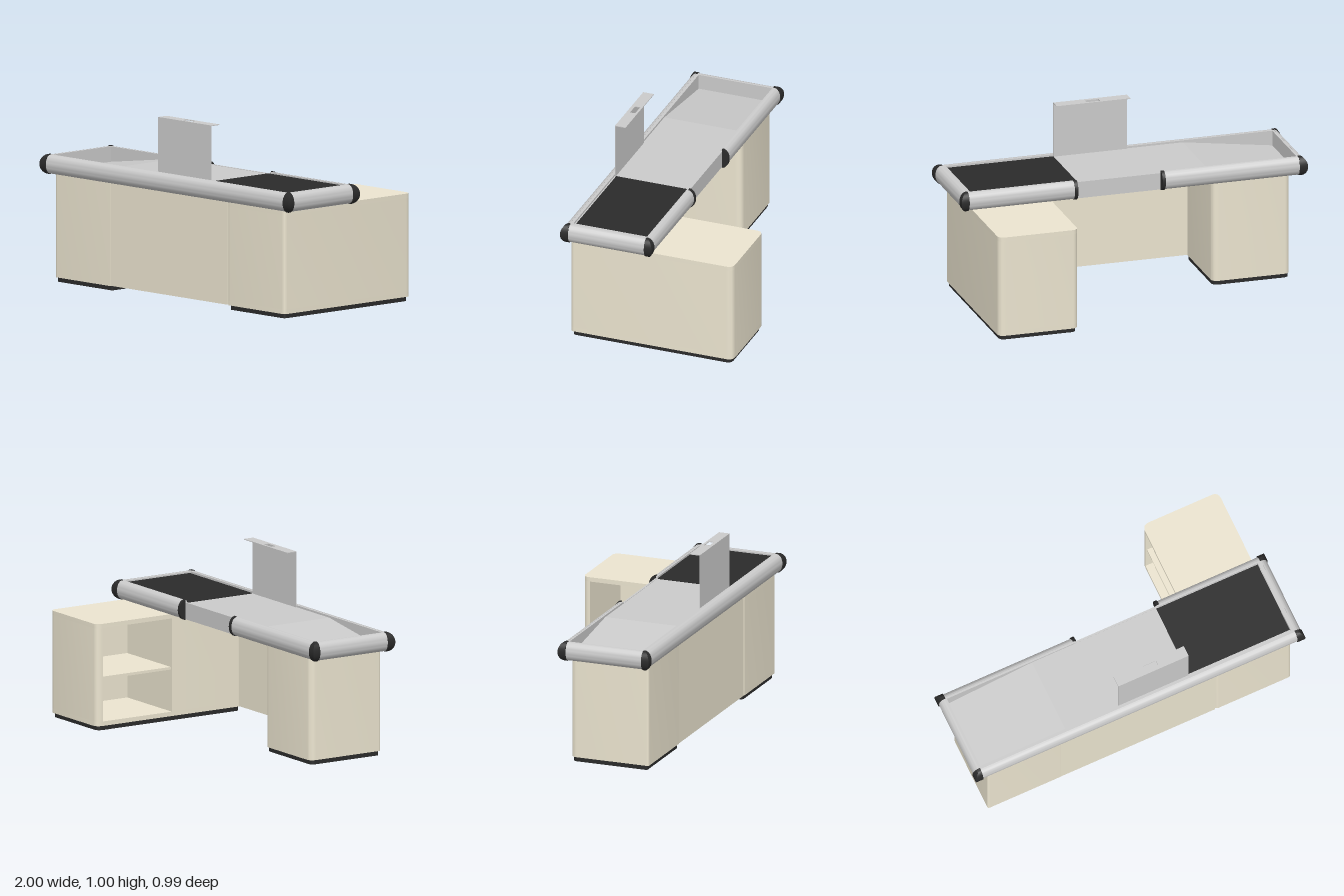
import * as THREE from 'three';
import { toCreasedNormals } from 'three/addons/utils/BufferGeometryUtils.js';

const mat = (color) => new THREE.MeshStandardMaterial({ color, side: THREE.DoubleSide });

export function createModel() {
  const model = new THREE.Group();
  const beige = mat(0xece5d0), black = mat(0x2b2b2b), grey = mat(0xcccccc);

  const add = (name, geometry, material, x = 0, y = 0, z = 0) => {
    const mesh = new THREE.Mesh(geometry, material);
    mesh.name = name;
    mesh.position.set(x, y, z);
    model.add(mesh);
    return mesh;
  };

  // Box given by its limits
  const box = (name, material, x0, x1, y0, y1, z0, z1) =>
    add(name, new THREE.BoxGeometry(x1 - x0, y1 - y0, z1 - z0), material,
      (x0 + x1) / 2, (y0 + y1) / 2, (z0 + z1) / 2);

  // Upright block with rounded corners in plan; notch opens towards -x
  const block = (name, material, x0, x1, y0, y1, z0, z1, rBack, rFront, notch) => {
    const s = new THREE.Shape();
    const f = -z1, b = -z0;
    s.moveTo(x0 + rFront, f);
    s.lineTo(x1 - rFront, f);
    s.quadraticCurveTo(x1, f, x1, f + rFront);
    s.lineTo(x1, b - rBack);
    s.quadraticCurveTo(x1, b, x1 - rBack, b);
    s.lineTo(x0 + rBack, b);
    s.quadraticCurveTo(x0, b, x0, b - rBack);
    if (notch) {
      s.lineTo(x0, -notch.z0);
      s.lineTo(notch.x, -notch.z0);
      s.lineTo(notch.x, -notch.z1);
      s.lineTo(x0, -notch.z1);
    }
    s.lineTo(x0, f + rFront);
    s.quadraticCurveTo(x0, f, x0 + rFront, f);
    const g = new THREE.ExtrudeGeometry(s, { depth: y1 - y0, bevelEnabled: false, curveSegments: 8 });
    g.rotateX(-Math.PI / 2);
    return add(name, toCreasedNormals(g, 0.6), material, 0, y0, 0);
  };

  // Deep side cabinet with an open shelf compartment
  const notch = { x: 0.91, z0: -0.455, z1: 0.0 };
  block('cabinetBottom', beige, 0.47, 0.93, 0.025, 0.05, -0.497, 0.46, 0.04, 0.02);
  block('cabinetWalls', beige, 0.47, 0.93, 0.05, 0.575, -0.497, 0.46, 0.04, 0.02, notch);
  block('cabinetTop', beige, 0.47, 0.93, 0.575, 0.6, -0.497, 0.46, 0.04, 0.02);
  box('cabinetShelf', beige, 0.48, 0.915, 0.285, 0.3, -0.46, 0.005);
  block('cabinetPlinth', black, 0.478, 0.92, 0, 0.025, -0.485, 0.45, 0.035, 0.02);

  // Pedestal and front panel
  block('pedestal', beige, -0.91, -0.46, 0.025, 0.6, -0.005, 0.46, 0.04, 0.012);
  block('pedestalPlinth', black, -0.905, -0.465, 0, 0.025, 0.005, 0.45, 0.035, 0.012);
  box('frontPanel', beige, -0.475, 0.468, 0.027, 0.6, 0.445, 0.4598);

  // Counter deck, sloping down towards one end
  const deck = new THREE.Shape([
    [-0.95, 0.597], [0.94, 0.597], [0.94, 0.69], [-0.43, 0.69], [-0.95, 0.615],
  ].map(([x, y]) => new THREE.Vector2(x, y)));
  add('deck', new THREE.ExtrudeGeometry(deck, { depth: 0.437, bevelEnabled: false }), grey, 0, 0, 0.004);
  box('conveyorBelt', black, 0.32, 0.935, 0.688, 0.694, 0.01, 0.43);

  // Rim walls around the deck
  const hx = 0.96, zBack = -0.005, zFront = 0.457, yMid = 0.65;
  box('frontRim', grey, -hx, hx, 0.597, 0.701, 0.44, zFront);
  box('leftRim', grey, 0.937, hx, 0.597, 0.701, zBack, zFront);
  box('rightRim', grey, -hx, -0.948, 0.597, 0.701, zBack, zFront);
  box('backRim', grey, -hx, -0.17, 0.597, 0.701, zBack, 0.006);
  box('backRim', grey, -0.17, 0.33, 0.597, 0.692, zBack, 0.006);
  box('backRim', grey, 0.33, hx, 0.597, 0.701, zBack, 0.006);

  // Half-round bumper rails; turn aims the rounded side
  const rail = (name, material, length, x, z, turn, rx = 0.034, ry = 0.052) => {
    const pts = [];
    for (let i = 0; i <= 16; i++) {
      const a = -Math.PI / 2 + Math.PI * i / 16;
      pts.push(new THREE.Vector2(rx * Math.cos(a), ry * Math.sin(a)));
    }
    const g = new THREE.ExtrudeGeometry(new THREE.Shape(pts), { depth: length, bevelEnabled: false });
    g.translate(0, 0, -length / 2);
    g.rotateY(turn);
    add(name, toCreasedNormals(g, 0.6), material, x, yMid, z);
  };
  const q = Math.PI / 2, zMid = (zBack + zFront) / 2, depth = zFront - zBack;
  rail('frontRail', grey, 2 * hx, 0, zFront, -q);
  rail('leftRail', grey, depth, hx, zMid, 0);
  rail('rightRail', grey, depth, -hx, zMid, Math.PI);
  for (const [x0, x1] of [[-hx, -0.17], [0.33, hx]]) {
    rail('backRail', grey, x1 - x0, (x0 + x1) / 2, zBack, q);
  }
  for (const x of [-0.17, 0.335]) rail('railEndCap', black, 0.018, x, zBack, q, 0.04, 0.056);

  // Corner caps: both sides follow the same half-round section
  for (const sx of [-1, 1]) {
    for (const sz of [-1, 1]) {
      const g = new THREE.BoxGeometry(1, 2, 1, 1, 16, 1);
      const p = g.attributes.position;
      for (let i = 0; i < p.count; i++) {
        const a = p.getY(i) * Math.PI / 2, e = 0.04 * Math.cos(a);
        p.setXYZ(i,
          p.getX(i) * sx > 0 ? sx * e : -sx * 0.006,
          0.056 * Math.sin(a),
          p.getZ(i) * sz > 0 ? sz * e : -sz * 0.006);
      }
      add('cornerCap', toCreasedNormals(g, 0.6), black, sx * hx, yMid, sz > 0 ? zFront : zBack);
    }
  }

  // Upright screen with a slotted flange on top
  box('screen', grey, -0.108, 0.318, 0.685, 1.004, 0.434, 0.438);
  const flange = new THREE.Shape([
    [-0.108, -0.438], [0.318, -0.438], [0.318, -0.375], [-0.108, -0.375],
  ].map(([x, y]) => new THREE.Vector2(x, y)));
  flange.holes.push(new THREE.Path([
    [0.065, -0.418], [0.065, -0.388], [0.142, -0.388], [0.142, -0.418],
  ].map(([x, y]) => new THREE.Vector2(x, y))));
  const flangeGeo = new THREE.ExtrudeGeometry(flange, { depth: 0.004, bevelEnabled: false });
  flangeGeo.rotateX(-Math.PI / 2);
  add('screenFlange', flangeGeo, grey, 0, 1.001, 0);

  return model;
}
